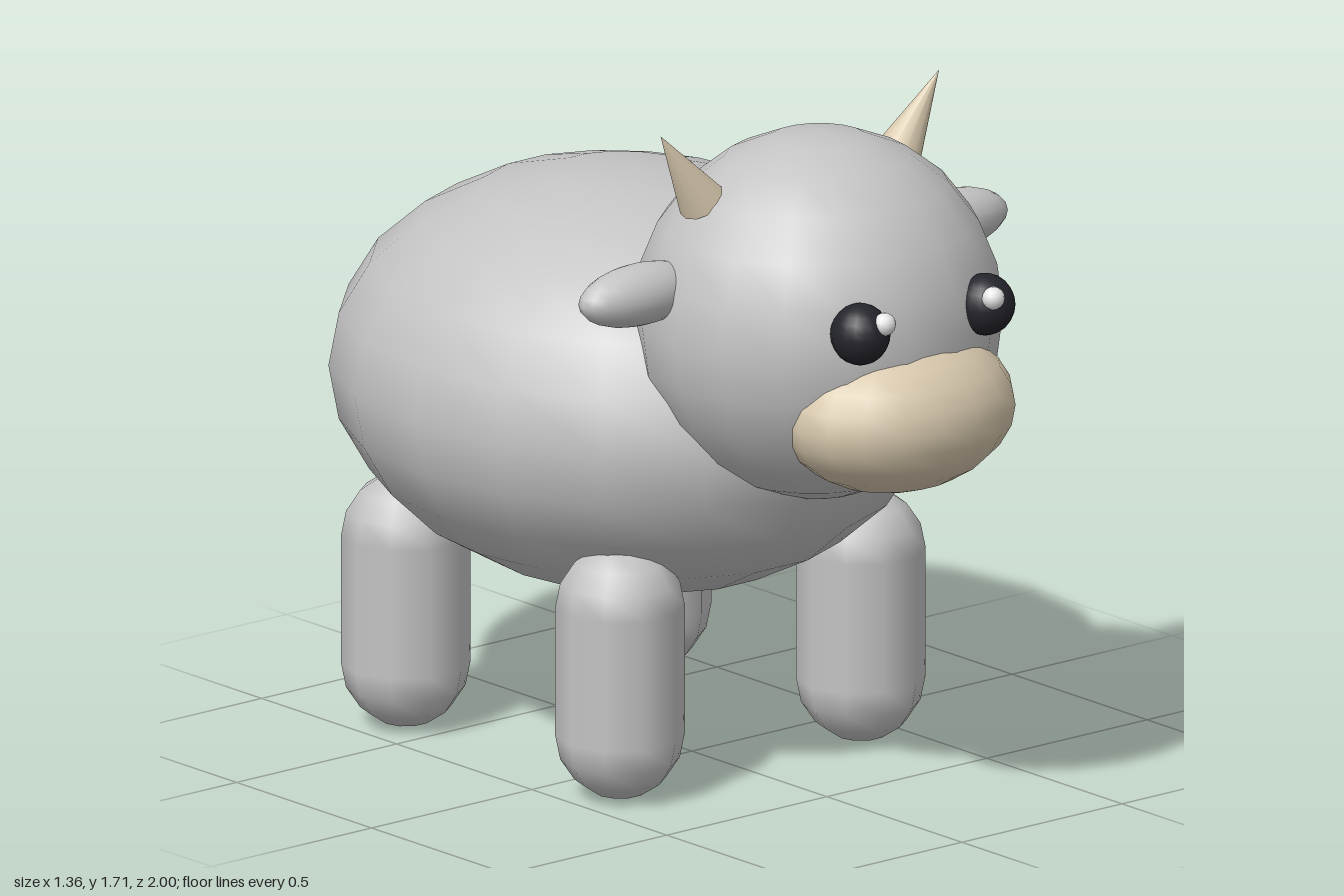
import * as THREE from 'three';

const makeMaterial = (name, color) => {
  const m = new THREE.MeshStandardMaterial({ color });
  m.name = name;
  return m;
};

export function createModel() {
  const model = new THREE.Group();
  model.name = 'cow';

  const hide = makeMaterial('grey hide', 0xc4c4c4);
  const cream = makeMaterial('cream', 0xd8c9ae);
  const black = makeMaterial('eye black', 0x24242c);
  const white = makeMaterial('eye shine', 0xf4f4f4);

  const add = (name, geometry, material, x, y, z) => {
    const mesh = new THREE.Mesh(geometry, material);
    mesh.name = name;
    mesh.position.set(x, y, z);
    model.add(mesh);
    return mesh;
  };
  // Smooth ellipsoid given by its three radii
  const ellipsoid = (rx, ry, rz, w = 18, h = 12) =>
    new THREE.SphereGeometry(1, w, h).scale(rx, ry, rz);

  // Body, head and muzzle
  add('body', ellipsoid(0.68, 0.51, 0.79), hide, 0, 0.9, -0.22);
  add('head', ellipsoid(0.45, 0.45, 0.433), hide, 0, 1.207, 0.467);
  add('muzzle', ellipsoid(0.31, 0.195, 0.237), cream, 0, 1.03, 0.765);

  const up = new THREE.Vector3(0, 1, 0);
  for (const [side, s] of [['left', 1], ['right', -1]]) {
    // Eyes with a small shine
    add(side + 'Eye', ellipsoid(0.072, 0.075, 0.073), black, s * 0.195, 1.275, 0.855);
    add(side + 'EyeShine', ellipsoid(0.028, 0.028, 0.028, 12, 8), white, s * 0.17, 1.308, 0.915);

    // Ears point straight out
    add(side + 'Ear', ellipsoid(0.18, 0.075, 0.075), hide, s * 0.48, 1.32, 0.375);

    // Horns lean outward from the crown
    const base = new THREE.Vector3(s * 0.305, 1.523, 0.4);
    const tip = new THREE.Vector3(s * 0.435, 1.71, 0.4);
    const length = base.distanceTo(tip);
    const horn = add(side + 'Horn', new THREE.ConeGeometry(0.06, length, 12), cream,
      (base.x + tip.x) / 2, (base.y + tip.y) / 2, base.z);
    horn.quaternion.setFromUnitVectors(up, tip.sub(base).normalize());

    // Legs
    for (const [end, z] of [['Front', 0.18], ['Back', -0.613]]) {
      add(side + end + 'Leg', new THREE.CapsuleGeometry(0.155, 0.32, 4, 10), hide,
        s * 0.376, 0.32, z);
    }
  }
  return model;
}
